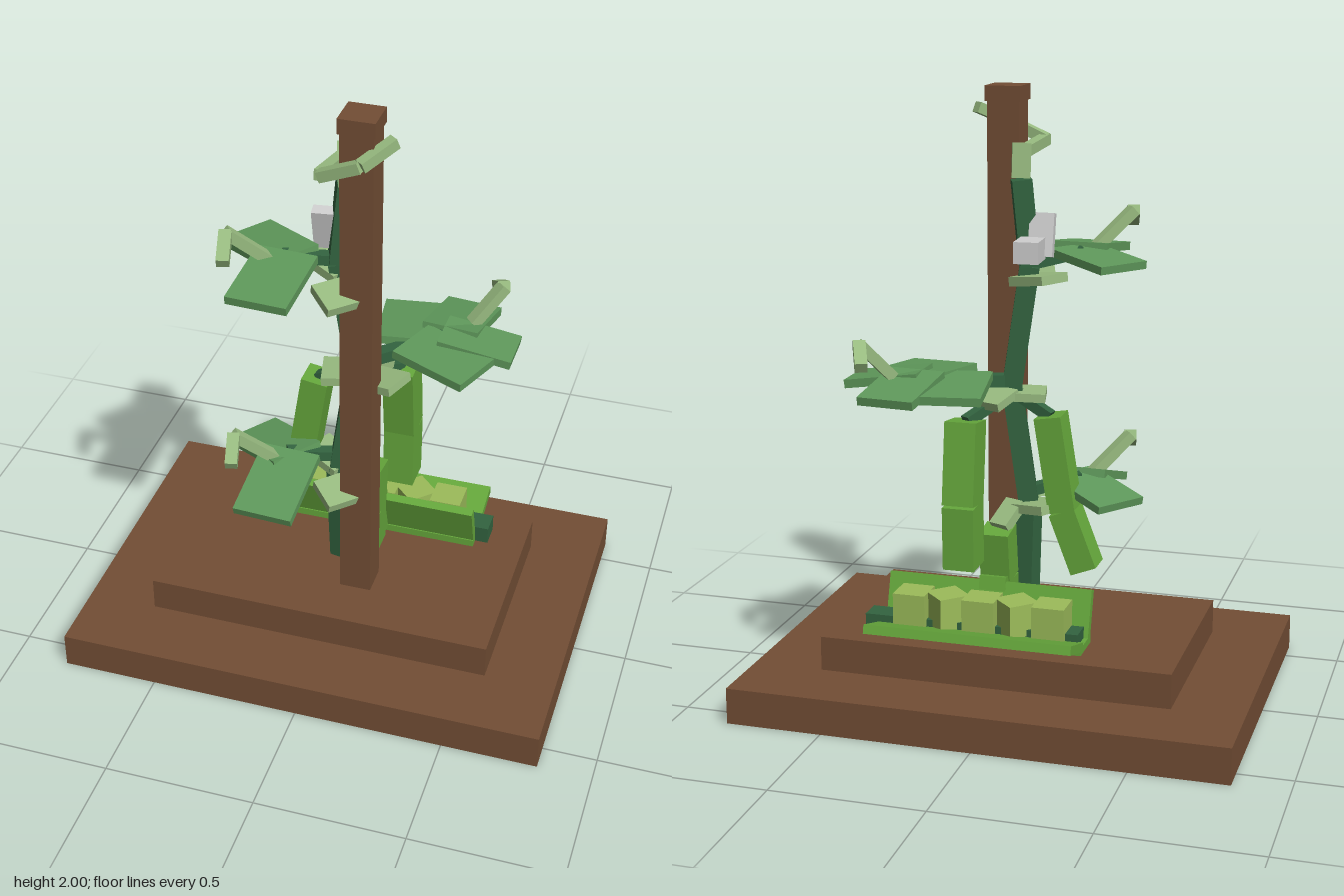
import * as THREE from 'three';

const mat = (name, color) => {
  const m = new THREE.MeshStandardMaterial({ color });
  m.name = name;
  return m;
};

export function createModel() {
  const root = new THREE.Group();
  root.name = 'peaPlant';
  const wood = mat('brown wood', 0x734e35);
  const stemGreen = mat('dark stem green', 0x336440);
  const leafGreen = mat('leaf green', 0x5f995b);
  const pale = mat('pale green', 0x98bb80);
  const podGreen = mat('pod green', 0x66a83c);
  const peaGreen = mat('pea green', 0x9cbc5a);
  const petal = mat('petal grey white', 0xcfcfcf);

  // Axis-aligned (or turned) block
  const box = (name, m, size, pos, rot = [0, 0, 0], parent = root) => {
    const mesh = new THREE.Mesh(new THREE.BoxGeometry(...size), m);
    mesh.name = name;
    mesh.position.set(...pos);
    mesh.rotation.set(...rot);
    parent.add(mesh);
    return mesh;
  };

  // Block running from a to b: w is its level width, t its thickness
  const bar = (name, m, a, b, w, t, parent = root) => {
    const p = new THREE.Vector3(...a), q = new THREE.Vector3(...b);
    const mesh = new THREE.Mesh(new THREE.BoxGeometry(w, t, p.distanceTo(q)), m);
    mesh.name = name;
    mesh.position.copy(p).add(q).multiplyScalar(0.5);
    mesh.lookAt(q);
    parent.add(mesh);
  };

  // Jointed chain of bars
  const chain = (name, m, pts, w, t) => {
    const g = new THREE.Group();
    g.name = name;
    for (let i = 1; i < pts.length; i++) bar(name + 'Segment', m, pts[i - 1], pts[i], w, t, g);
    root.add(g);
  };

  // Stepped base and support post
  box('lowerStep', wood, [1.64, 0.12, 1.17], [0, 0.06, 0]);
  box('upperStep', wood, [1.17, 0.115, 0.7], [0, 0.1775, 0]);
  box('post', wood, [0.106, 1.72, 0.106], [0.085, 1.095, 0.125]);
  box('postCap', wood, [0.118, 0.05, 0.118], [0.085, 1.975, 0.125]);

  // Zigzag main stem
  chain('stem', stemGreen, [[-0.01, 0.24, 0.01], [-0.015, 0.62, 0.035], [0.04, 1.03, 0.02],
    [-0.015, 1.43, 0.035], [0.01, 1.71, 0.025]], 0.065, 0.065);

  // Shoot tip curling round the post
  box('shootTip', pale, [0.06, 0.11, 0.09], [0.01, 1.77, 0.025], [0.1, 0.3, 0]);
  chain('topTendril', pale, [[0, 1.8, 0.04], [-0.02, 1.82, 0.21], [0.11, 1.875, 0.22], [0.19, 1.925, 0.13]], 0.035, 0.035);

  // Two matching left-hand leaf sprays
  for (const [y, drop] of [[0.725, 0.08], [1.485, 0.035]]) {
    bar('leafStalk', stemGreen, [-0.01, y - 0.05, 0.03], [-0.17, y - 0.015, 0.12], 0.04, 0.035);
    bar('leaf', leafGreen, [-0.13, y - 0.01, 0.13], [-0.34, y - 0.02 - drop * 0.5, -0.02], 0.19, 0.026);
    bar('leaf', leafGreen, [-0.15, y, 0.13], [-0.165, y - drop, 0.395], 0.2, 0.028);
    chain('tendril', pale, [[-0.2, y - 0.01, 0.16], [-0.31, y + 0.11, 0.24], [-0.285, y + 0.06, 0.34]], 0.04, 0.034);
    // Stipules clasping the stem below the spray
    bar('stipule', pale, [0.01, y - 0.1, 0.03], [-0.12, y - 0.08, -0.04], 0.12, 0.03);
    bar('stipule', pale, [-0.02, y - 0.085, 0.13], [0.06, y - 0.115, 0.21], 0.12, 0.03);
  }

  // Right-hand leaf spray
  bar('leafStalk', stemGreen, [0.04, 1.05, 0.02], [0.3, 1.08, -0.17], 0.045, 0.04);
  const rightLeaves = [
    [[0.18, 1.085, -0.09], [0.14, 1.06, -0.355], 0.21],
    [[0.3, 1.1, -0.17], [0.325, 1.055, -0.415], 0.19],
    [[0.28, 1.1, -0.16], [0.525, 1.065, -0.16], 0.165],
    [[0.19, 1.09, -0.09], [0.44, 1.07, 0.005], 0.2],
  ];
  for (const [a, b, w] of rightLeaves) bar('leaf', leafGreen, a, b, w, 0.028);
  chain('tendril', pale, [[0.36, 1.1, -0.24], [0.445, 1.215, -0.31], [0.405, 1.16, -0.4]], 0.04, 0.036);
  bar('stipule', pale, [0.06, 1.01, 0.01], [-0.07, 1.005, 0.04], 0.13, 0.028);
  bar('stipule', pale, [0.06, 1.0, 0.02], [0.2, 1.025, 0.07], 0.12, 0.028);
  bar('stipule', pale, [0.05, 1.02, -0.01], [0.09, 0.99, -0.11], 0.1, 0.028);

  // Hanging pods with their stalks
  bar('podStalk', stemGreen, [0.02, 1.01, 0.01], [-0.1, 0.945, -0.01], 0.035, 0.035);
  bar('podStalk', stemGreen, [0.05, 1.01, 0.0], [0.145, 0.945, -0.15], 0.035, 0.035);
  chain('leftPod', podGreen, [[-0.1, 0.95, -0.01], [-0.15, 0.635, -0.01], [-0.225, 0.44, -0.01]], 0.1, 0.09);
  chain('rightPod', podGreen, [[0.145, 0.95, -0.155], [0.145, 0.68, -0.19], [0.145, 0.47, -0.185]], 0.105, 0.115);
  chain('lowPod', podGreen, [[0.06, 0.57, -0.085], [0.06, 0.4, -0.06], [0.06, 0.25, -0.06]], 0.1, 0.1);
  bar('lowPodLeaf', podGreen, [0.06, 0.42, -0.12], [0.06, 0.25, -0.155], 0.09, 0.04);
  bar('lowPodCap', pale, [0.02, 0.64, 0.0], [0.055, 0.575, -0.08], 0.07, 0.035);

  // Open pod lying on the base, with a row of peas
  const pod = new THREE.Group();
  pod.name = 'openPod';
  root.add(pod);
  bar('podBackHalf', podGreen, [0.07, 0.245, -0.175], [0.07, 0.405, -0.125], 0.69, 0.03, pod);
  bar('podFrontHalf', podGreen, [0.07, 0.255, -0.25], [0.07, 0.3, -0.405], 0.69, 0.03, pod);
  box('podFloor', podGreen, [0.69, 0.025, 0.13], [0.07, 0.248, -0.215], [0, 0, 0], pod);
  box('podEnd', stemGreen, [0.72, 0.06, 0.08], [0.1, 0.268, -0.222], [0, 0, 0], pod);
  for (let i = 0; i < 5; i++) {
    box('pea', peaGreen, [0.108, 0.108, 0.108], [-0.165 + i * 0.117, 0.33, -0.228],
      [0, i % 2 ? Math.PI / 4 : 0, 0], pod);
  }

  // Flower
  box('flowerBanner', petal, [0.08, 0.14, 0.04], [-0.06, 1.535, 0.02], [0.2, 0.1, 0]);
  box('flowerKeel', petal, [0.08, 0.07, 0.115], [-0.04, 1.495, -0.055], [0, 0.06, 0]);

  return root;
}
